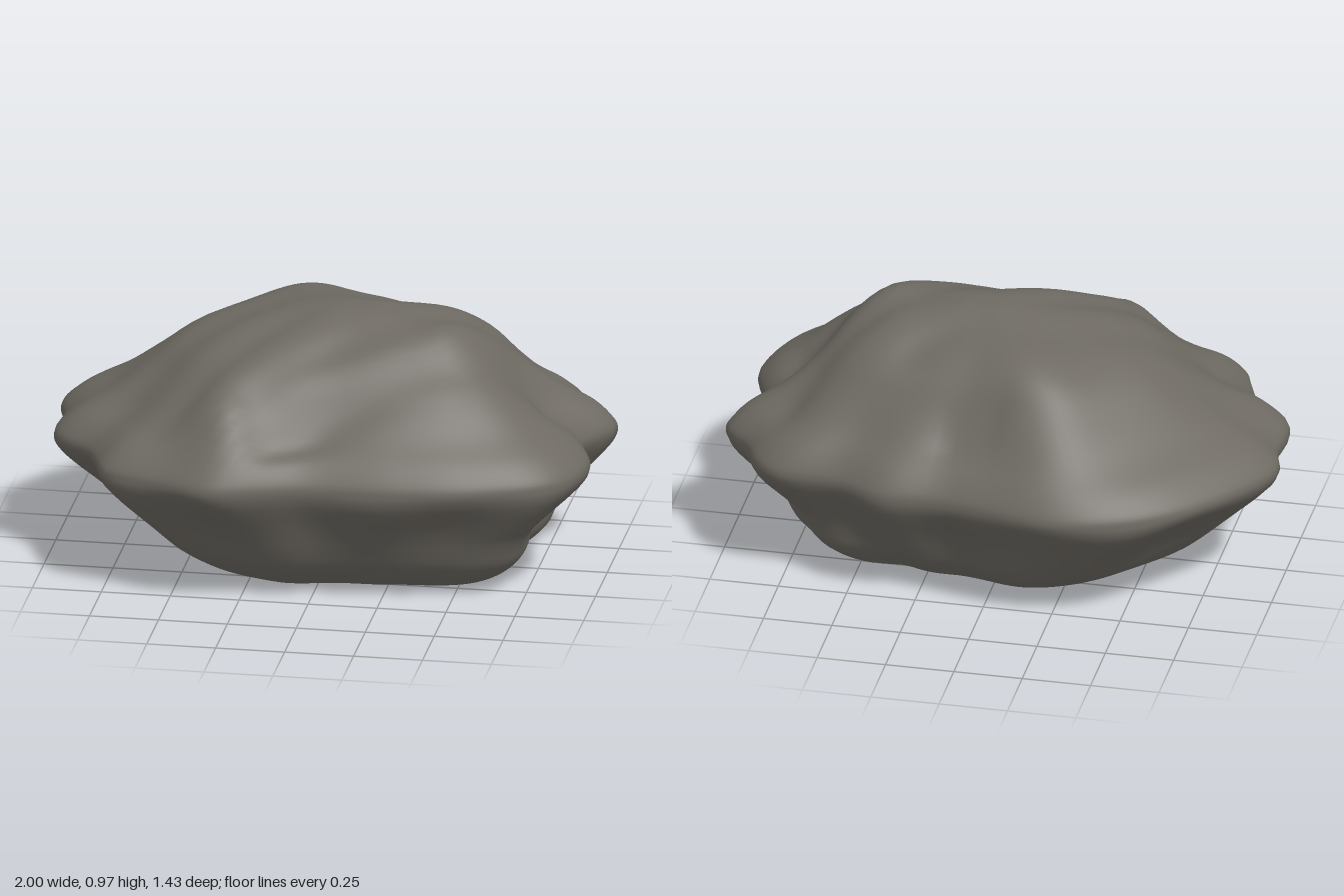
import * as THREE from 'three';

const SEGMENTS = 120, RINGS = 72;
const v2 = (list) => list.map(([x, y]) => new THREE.Vector2(x, y));

// Widest outline of the boulder, as x and z
const outline = new THREE.CatmullRomCurve3([
  [1, -0.23], [0.91, -0.02], [0.97, 0.2], [0.88, 0.43], [0.6, 0.57], [0.33, 0.62],
  [0, 0.63], [-0.15, 0.67], [-0.33, 0.71], [-0.52, 0.64], [-0.73, 0.56], [-0.78, 0.45],
  [-0.83, 0.34], [-0.97, 0.2], [-0.97, 0], [-1, -0.13], [-0.92, -0.3], [-0.7, -0.56],
  [-0.5, -0.68], [-0.3, -0.72], [0, -0.66], [0.13, -0.635], [0.35, -0.64], [0.53, -0.56],
  [0.75, -0.54], [0.84, -0.47], [0.9, -0.35],
].map(([x, z]) => new THREE.Vector3(x, 0, z)), true, 'centripetal');

// Side profile: share of the outline against height, from base to crown; widest halfway
const profile = new THREE.SplineCurve(v2([
  [0.42, 0.004], [0.52, 0.03], [0.61, 0.075], [0.69, 0.13], [0.75, 0.19], [0.81, 0.255],
  [0.87, 0.315], [0.945, 0.385], [0.985, 0.43], [1, 0.47], [0.985, 0.51], [0.92, 0.57],
  [0.81, 0.64], [0.7, 0.73], [0.57, 0.835], [0.4, 0.91], [0.2, 0.955], [0.08, 0.973], [0, 0.975],
]));

// Diagonal furrows over the crown: depth, width and path in x and z
const furrows = [
  [0.04, 0.08, [[0.95, -0.02], [0.72, 0.05], [0.5, 0.25], [0.1, 0.43], [-0.15, 0.58]]],
  [0.025, 0.08, [[0.85, -0.42], [0.65, -0.2], [0.35, 0.06], [0, 0.3], [-0.2, 0.45]]],
  [0.022, 0.08, [[0.3, -0.25], [-0.1, 0.08], [-0.45, 0.42], [-0.55, 0.5]]],
  [0.018, 0.09, [[-0.2, -0.1], [-0.55, 0.14], [-0.85, 0.32]]],
  [0.025, 0.06, [[-0.02, -0.48], [0.12, -0.49]]],
].map(([depth, width, path]) => ({ depth, width, path: v2(path) }));

// Rounded swellings: x, z, height, radius
const swellings = [
  [0.48, 0.06, 0.05, 0.2], [-0.33, 0.53, 0.08, 0.14],
  [-0.12, -0.38, 0.035, 0.18], [-0.27, -0.53, 0.035, 0.16],
];

function distanceToPath(p, path) {
  let best = Infinity;
  for (let i = 0; i < path.length - 1; i++) {
    const along = path[i + 1].clone().sub(path[i]);
    const t = THREE.MathUtils.clamp(p.clone().sub(path[i]).dot(along) / along.lengthSq(), 0, 1);
    best = Math.min(best, p.distanceTo(path[i].clone().addScaledVector(along, t)));
  }
  return best;
}

function crownRelief(x, z) {
  const p = new THREE.Vector2(x, z);
  let h = 0;
  for (const f of furrows) h -= f.depth * Math.exp(-((distanceToPath(p, f.path) / f.width) ** 2));
  for (const [cx, cz, height, r] of swellings) {
    h += height * Math.exp(-((x - cx) ** 2 + (z - cz) ** 2) / (r * r));
  }
  return h;
}

function boulderGeometry() {
  const { smoothstep, clamp } = THREE.MathUtils;
  const edge = [], soft = [];
  for (let i = 0; i < SEGMENTS; i++) edge.push(outline.getPointAt(i / SEGMENTS));
  // Smoothed outline, so edge notches fade toward crown and base
  for (let i = 0; i < SEGMENTS; i++) {
    const sum = new THREE.Vector3();
    for (let k = -4; k <= 4; k++) sum.add(edge[(i + k + SEGMENTS) % SEGMENTS]);
    soft.push(sum.divideScalar(9));
  }

  const positions = [0.1, 0.004, 0], index = [];
  for (let j = 0; j < RINGS; j++) {
    const { x: u, y } = profile.getPoint(j / RINGS);
    const top = j >= RINGS / 2;
    const fade = (top ? 1 : 0.5) * (1 - smoothstep(u, 0.6, 0.95));
    for (let i = 0; i < SEGMENTS; i++) {
      const p = edge[i].clone().lerp(soft[i], fade);
      const x = 0.1 + (p.x - 0.1) * u, z = p.z * u;
      let h = y, pinch = 1;
      if (top) {
        h += crownRelief(x, z) * smoothstep(u, 0.05, 0.45) * (1 - smoothstep(u, 0.78, 1));
      } else {
        // Shallow slanting hollows around the flanks, and a fuller foot at the left end
        const a = (i / SEGMENTS) * Math.PI * 2;
        const mask = Math.sin(Math.PI * clamp(y / 0.47, 0, 1));
        pinch += mask * (0.02 * Math.sin(7 * a + 6 * y) + 0.012 * Math.sin(11 * a - 5 * y));
        pinch += 0.17 * smoothstep(p.x, 0.5, 0.95) * (1 - smoothstep(y, 0, 0.26));
      }
      positions.push(0.1 + (x - 0.1) * pinch, Math.max(0, h), z * pinch);
    }
  }
  const crown = positions.length / 3;
  positions.push(0.1, 0.975, 0);

  const at = (j, i) => 1 + j * SEGMENTS + (i % SEGMENTS);
  for (let i = 0; i < SEGMENTS; i++) {
    index.push(0, at(0, i), at(0, i + 1));
    for (let j = 0; j < RINGS - 1; j++) {
      const a = at(j, i), b = at(j, i + 1), c = at(j + 1, i), d = at(j + 1, i + 1);
      index.push(a, c, b, b, c, d);
    }
    index.push(at(RINGS - 1, i), crown, at(RINGS - 1, i + 1));
  }
  const geometry = new THREE.BufferGeometry();
  geometry.setAttribute('position', new THREE.Float32BufferAttribute(positions, 3));
  geometry.setIndex(index);
  geometry.computeVertexNormals();
  return geometry;
}

export function createModel() {
  const group = new THREE.Group();
  group.name = 'rock';
  const boulder = new THREE.Mesh(boulderGeometry(), new THREE.MeshStandardMaterial({ color: 0x6e6a63 }));
  boulder.name = 'boulder';
  group.add(boulder);
  return group;
}
